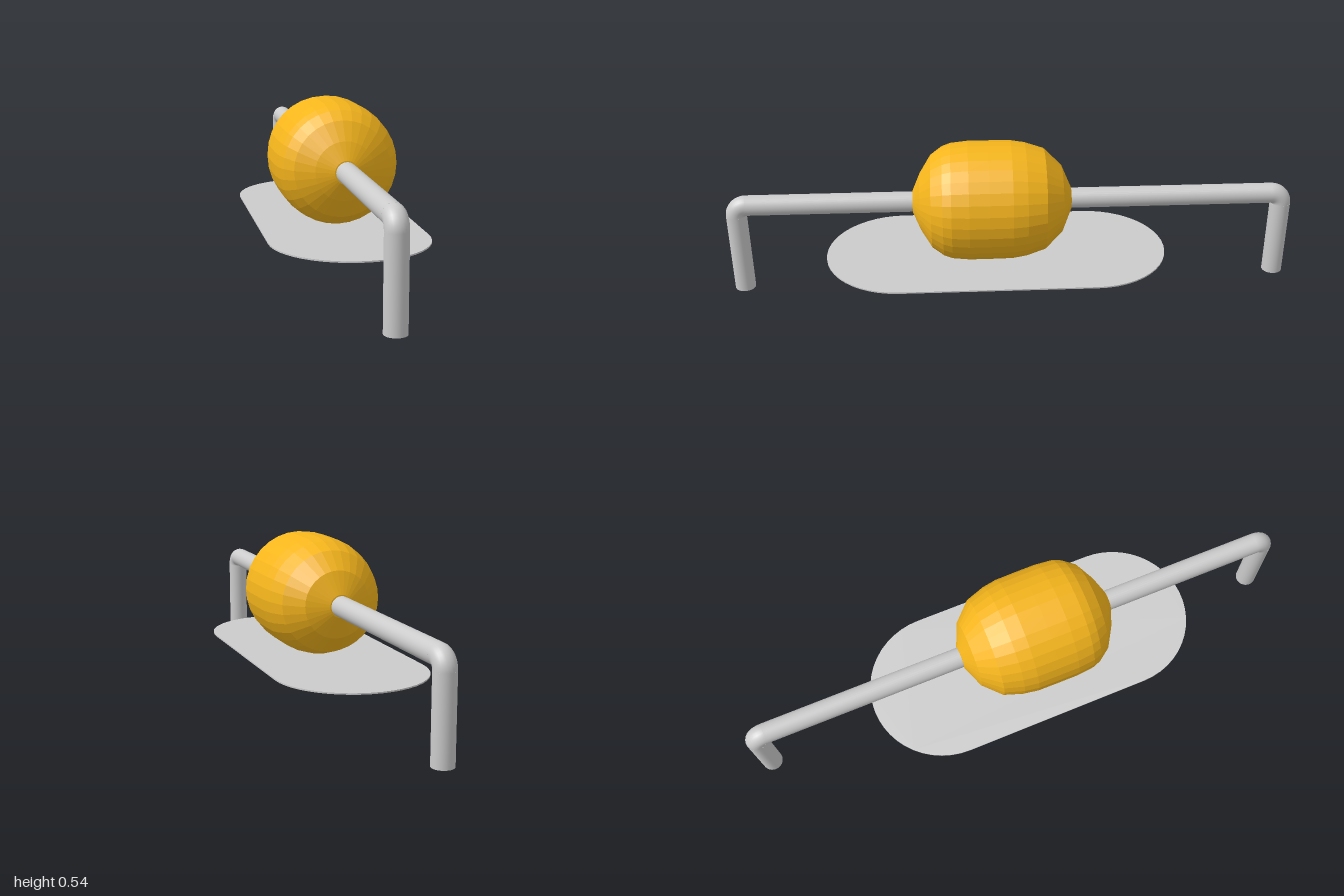
import * as THREE from 'three';

const R = 0.036;      // rod radius
const AXIS_Y = 0.332; // height of the rod and float axis
const BEND = 0.037;   // centreline radius of the elbows
const END_Z = 0.964;  // legs' distance from the middle

export function createModel() {
  const model = new THREE.Group();
  const grey = new THREE.MeshStandardMaterial({ color: 0xcccccc });
  const yellow = new THREE.MeshStandardMaterial({ color: 0xf5b51c, flatShading: true });

  const add = (name, geometry, material, x = 0, y = 0, z = 0) => {
    const mesh = new THREE.Mesh(geometry, material);
    mesh.name = name;
    mesh.position.set(x, y, z);
    model.add(mesh);
    return mesh;
  };

  // Horizontal rod running through the barrel
  const rodLength = 2 * (END_Z - BEND);
  add('rod', new THREE.CylinderGeometry(R, R, rodLength, 32).rotateX(Math.PI / 2), grey, 0.002, AXIS_Y, 0);

  // Elbow and leg at each end; the back leg is slightly shorter
  for (const [side, s, foot] of [['front', 1, 0], ['back', -1, 0.015]]) {
    const elbow = new THREE.TorusGeometry(BEND, R, 24, 10, Math.PI / 2).rotateY(-s * Math.PI / 2);
    add(side + 'Elbow', elbow, grey, 0.002, AXIS_Y - BEND, s * (END_Z - BEND));
    const height = AXIS_Y - BEND - foot;
    add(side + 'Leg', new THREE.CylinderGeometry(R, R, height, 32), grey, 0.002, foot + height / 2, s * END_Z);
  }

  // Faceted barrel, turned around the rod: [radius, z]
  const profile = [
    [0, -0.213], [0.04, -0.211], [0.118, -0.178], [0.178, -0.117], [0.2, -0.05],
    [0.208, 0], [0.209, 0.08], [0.209, 0.15], [0.203, 0.21], [0.192, 0.24],
    [0.163, 0.28], [0.1, 0.319], [0.04, 0.345], [0, 0.348],
  ].map(([r, z]) => new THREE.Vector2(r, z));
  add('barrel', new THREE.LatheGeometry(profile, 32).rotateX(Math.PI / 2), yellow, 0.002, AXIS_Y, 0);

  // Thin plate with round ends below the barrel
  const w = 0.267, half = 0.341;
  const outline = new THREE.Shape();
  outline.absarc(0, half, w, 0, Math.PI, false);
  outline.absarc(0, -half, w, Math.PI, 2 * Math.PI, false);
  outline.closePath();
  const plate = new THREE.ExtrudeGeometry(outline, { depth: 0.005, bevelEnabled: false, curveSegments: 12 });
  add('plate', plate.rotateX(-Math.PI / 2), grey, 0, 0.12, 0.053);

  return model;
}
